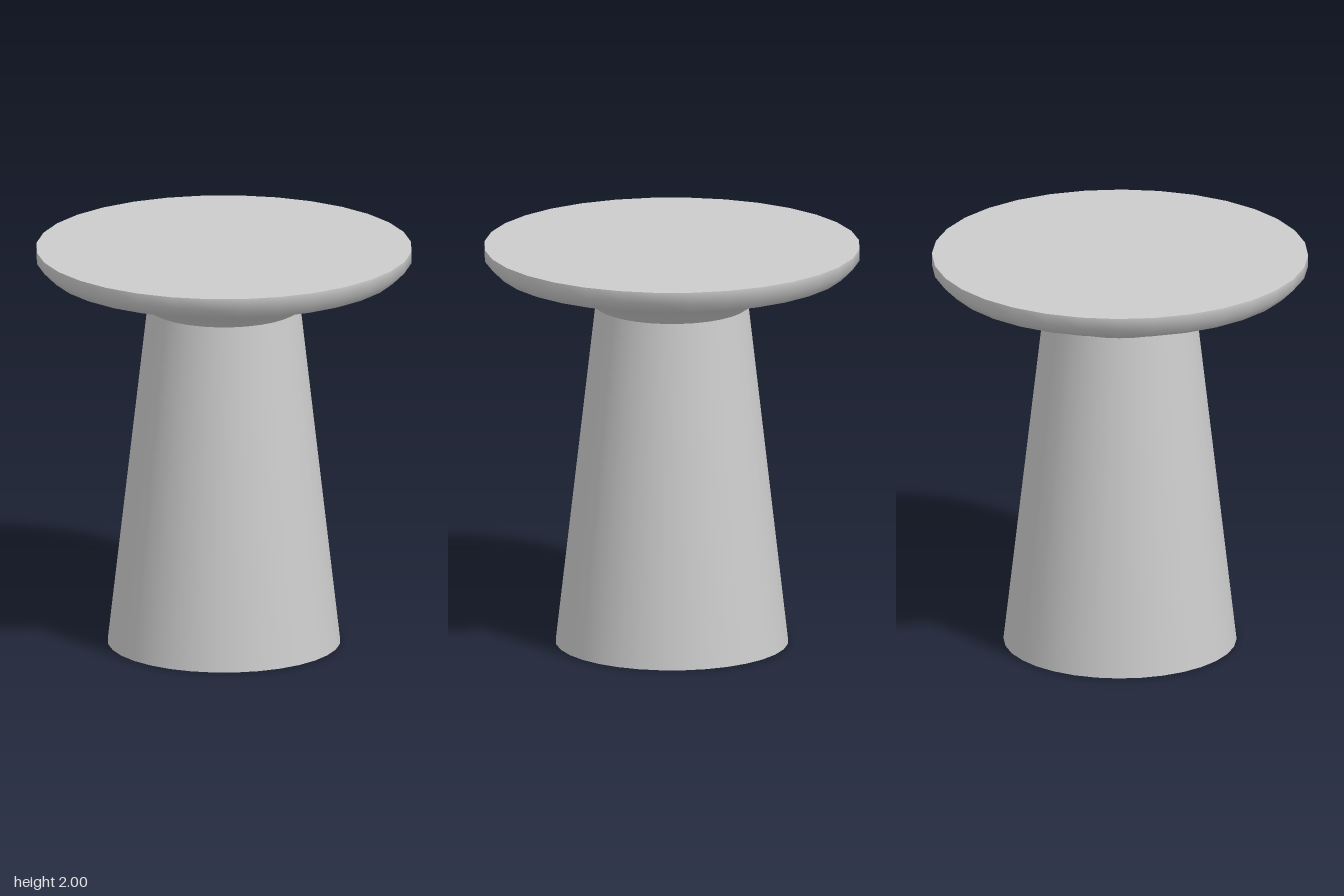
import * as THREE from 'three';

const SIDES = 32;
const TOP_Y = 2;
const NECK_Y = 1.7;
const TOP_RADIUS = 0.92;
const NECK_RADIUS = 0.375;
const BASE_RADIUS = 0.57;

export function createModel() {
  const group = new THREE.Group();
  const material = new THREE.MeshStandardMaterial({ color: 0xcccccc });

  const add = (name, geometry, y) => {
    const mesh = new THREE.Mesh(geometry, material);
    mesh.name = name;
    mesh.position.y = y;
    group.add(mesh);
    return mesh;
  };

  // Tapered pedestal, closed at both ends
  add('pedestal', new THREE.CylinderGeometry(NECK_RADIUS, BASE_RADIUS, NECK_Y, SIDES), NECK_Y / 2);

  // Flared underside and rim of the top, smooth along the profile
  const profile = [
    [NECK_RADIUS, NECK_Y],
    [0.5, 1.785],
    [0.86, 1.883],
    [TOP_RADIUS, 1.943],
    [TOP_RADIUS, TOP_Y],
  ].map(([r, y]) => new THREE.Vector2(r, y));
  add('tabletopUnderside', new THREE.LatheGeometry(profile, SIDES), 0);

  // Flat top surface, kept separate for a crisp edge
  const surface = new THREE.CircleGeometry(TOP_RADIUS, SIDES).rotateX(-Math.PI / 2);
  add('tabletopSurface', surface, TOP_Y);

  return group;
}
